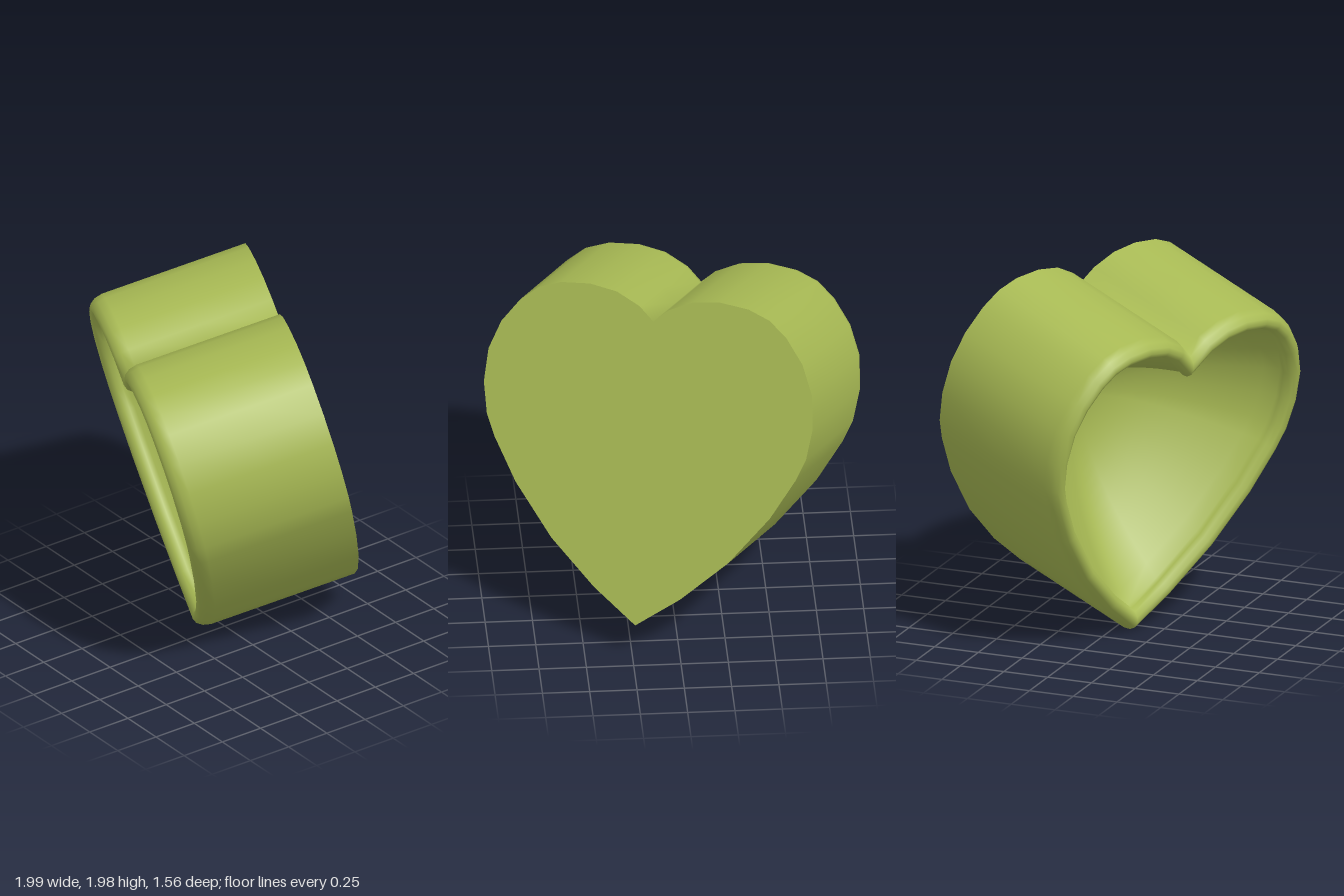
import * as THREE from 'three';

// Right half of the heart outline, from bottom tip up to the notch
const HALF = [
  [0, 0], [0.24, 0.178], [0.49, 0.413], [0.705, 0.69], [0.835, 0.92], [0.885, 1.04],
  [0.912, 1.213], [0.897, 1.398], [0.835, 1.558], [0.738, 1.69], [0.64, 1.772],
  [0.52, 1.817], [0.36, 1.832], [0.21, 1.81], [0.08, 1.748], [0, 1.675],
];
const CENTRE = new THREE.Vector2(0, 1.08);

// Full outline, counter-clockwise seen from the front
function heartOutline() {
  const right = HALF.map(([x, y]) => new THREE.Vector2(x, y));
  const left = right.slice(1, -1).reverse().map((p) => new THREE.Vector2(-p.x, p.y));
  return [...right, ...left];
}

// Move every corner inward by d with mitred joints
function inset(points, d) {
  const n = points.length;
  const inward = (a, b) => new THREE.Vector2(a.y - b.y, b.x - a.x).normalize();
  return points.map((p, i) => {
    const n1 = inward(points[(i + n - 1) % n], p);
    const n2 = inward(p, points[(i + 1) % n]);
    const m = n1.clone().add(n2).normalize();
    return p.clone().addScaledVector(m, d / m.dot(n1));
  });
}

// Skin a list of rings { points, z } of equal length
function loft(rings) {
  const n = rings[0].points.length;
  const pos = [], index = [];
  rings.forEach(({ points, z }) => points.forEach((p) => pos.push(p.x, p.y, z)));
  for (let j = 0; j < rings.length - 1; j++) {
    for (let i = 0; i < n; i++) {
      const a = j * n + i, b = j * n + (i + 1) % n;
      index.push(a, b, b + n, a, b + n, a + n);
    }
  }
  const geo = new THREE.BufferGeometry();
  geo.setAttribute('position', new THREE.Float32BufferAttribute(pos, 3));
  geo.setIndex(index);
  geo.computeVertexNormals();
  return geo;
}

export function createModel() {
  const group = new THREE.Group();
  group.name = 'heartBowl';
  const material = new THREE.MeshStandardMaterial({ color: 0xa8ba54 });
  const outline = heartOutline();

  // Outer wall and rounded rim: [inset, depth]
  const rim = [
    [0, 0], [0, 0.4], [0, 0.805], [0.01, 0.848], [0.03, 0.878], [0.055, 0.89],
    [0.08, 0.88], [0.098, 0.855], [0.102, 0.825],
  ];
  const rings = rim.map(([d, z]) => ({ points: inset(outline, d), z }));

  // Bowl-shaped hollow closing to a point near the back
  const lip = inset(outline, 0.098);
  const steps = 16, floorZ = 0.17, lipZ = 0.795;
  for (let k = 0; k <= steps; k++) {
    const s = Math.max(1 - k / steps, 0.002);
    rings.push({
      points: lip.map((p) => p.clone().sub(CENTRE).multiplyScalar(s).add(CENTRE)),
      z: floorZ + (lipZ - floorZ) * s * s,
    });
  }
  const shell = new THREE.Mesh(loft(rings), material);
  shell.name = 'wallRimAndHollow';

  // Flat back, turned to face away from the opening
  const back = new THREE.Mesh(new THREE.ShapeGeometry(new THREE.Shape(outline)).rotateY(Math.PI), material);
  back.name = 'back';

  // Tilt the whole heart: opening axis and upright axis
  const heart = new THREE.Group();
  heart.name = 'tiltedHeart';
  heart.add(shell, back);
  const axis = new THREE.Vector3(-0.37, -0.25, 0.895).normalize();
  const side = new THREE.Vector3(-0.066, 0.973, 0.221).cross(axis).normalize();
  const up = axis.clone().cross(side);
  heart.quaternion.setFromRotationMatrix(new THREE.Matrix4().makeBasis(side, up, axis));
  heart.position.set(0.237, 0.209, -0.675);
  group.add(heart);
  return group;
}
